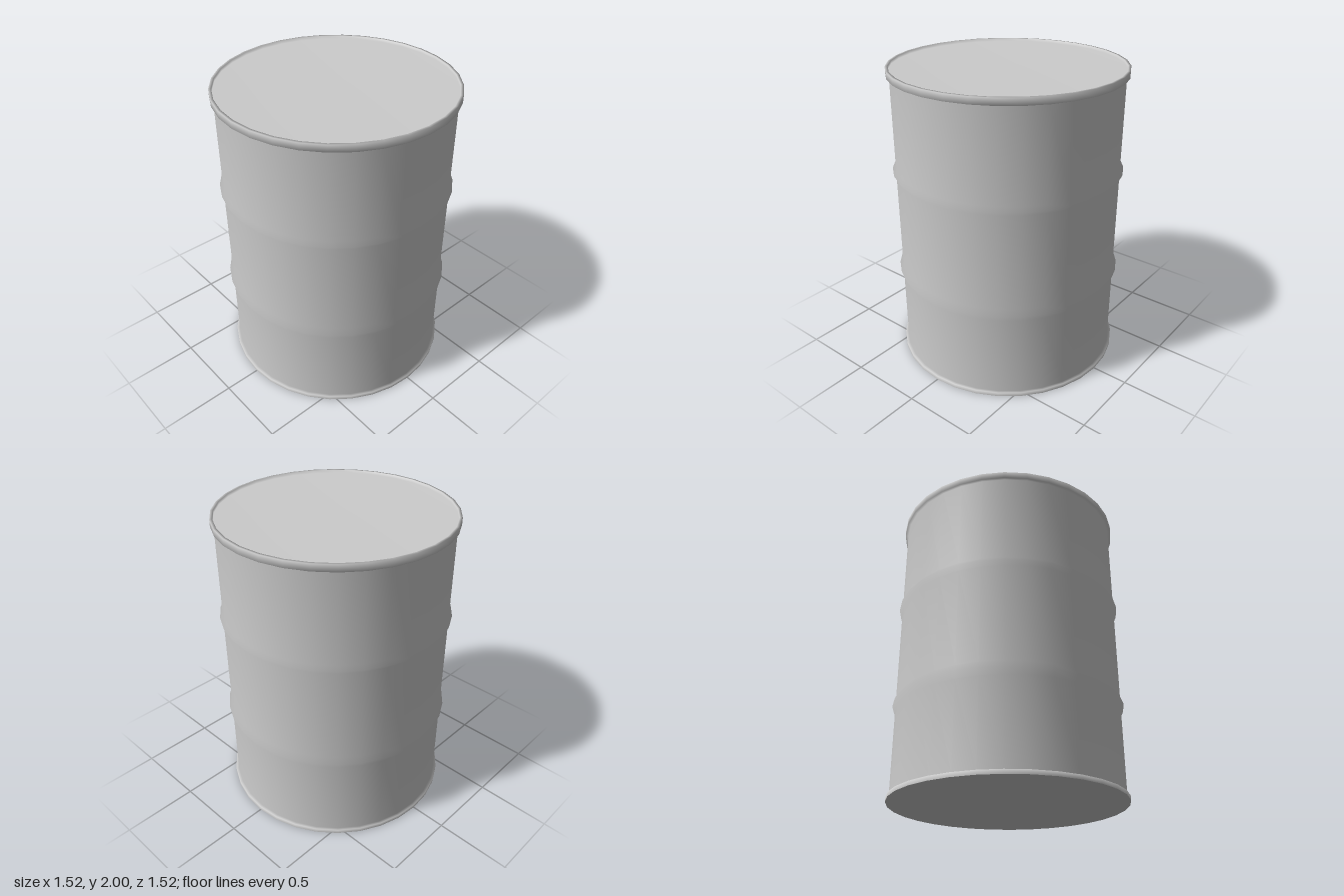
import * as THREE from 'three';

const SIDES = 32;

export function createModel() {
  const drum = new THREE.Group();
  drum.name = 'drum';
  const material = new THREE.MeshStandardMaterial({ color: 0xcccccc });

  // Smooth shell: bottom rim, wall with two ribs, top rim and sunken lid
  const rib = (y, half) => [[0.74, y - half], [0.76, y], [0.74, y + half]];
  const profile = [
    [0.76, 0], [0.76, 0.027], [0.74, 0.027],
    ...rib(0.62, 0.042),
    ...rib(1.33, 0.028),
    [0.74, 1.955], [0.76, 1.955], [0.76, 2],
    [0.742, 2], [0.742, 1.98], [0, 1.98],
  ].map(([r, y]) => new THREE.Vector2(r, y));
  const shell = new THREE.Mesh(new THREE.LatheGeometry(profile, SIDES), material);
  shell.name = 'shell';
  drum.add(shell);

  // Flat underside with a hard edge
  const base = new THREE.Mesh(new THREE.CircleGeometry(0.76, SIDES), material);
  base.name = 'base';
  base.rotation.x = Math.PI / 2;
  drum.add(base);

  return drum;
}
